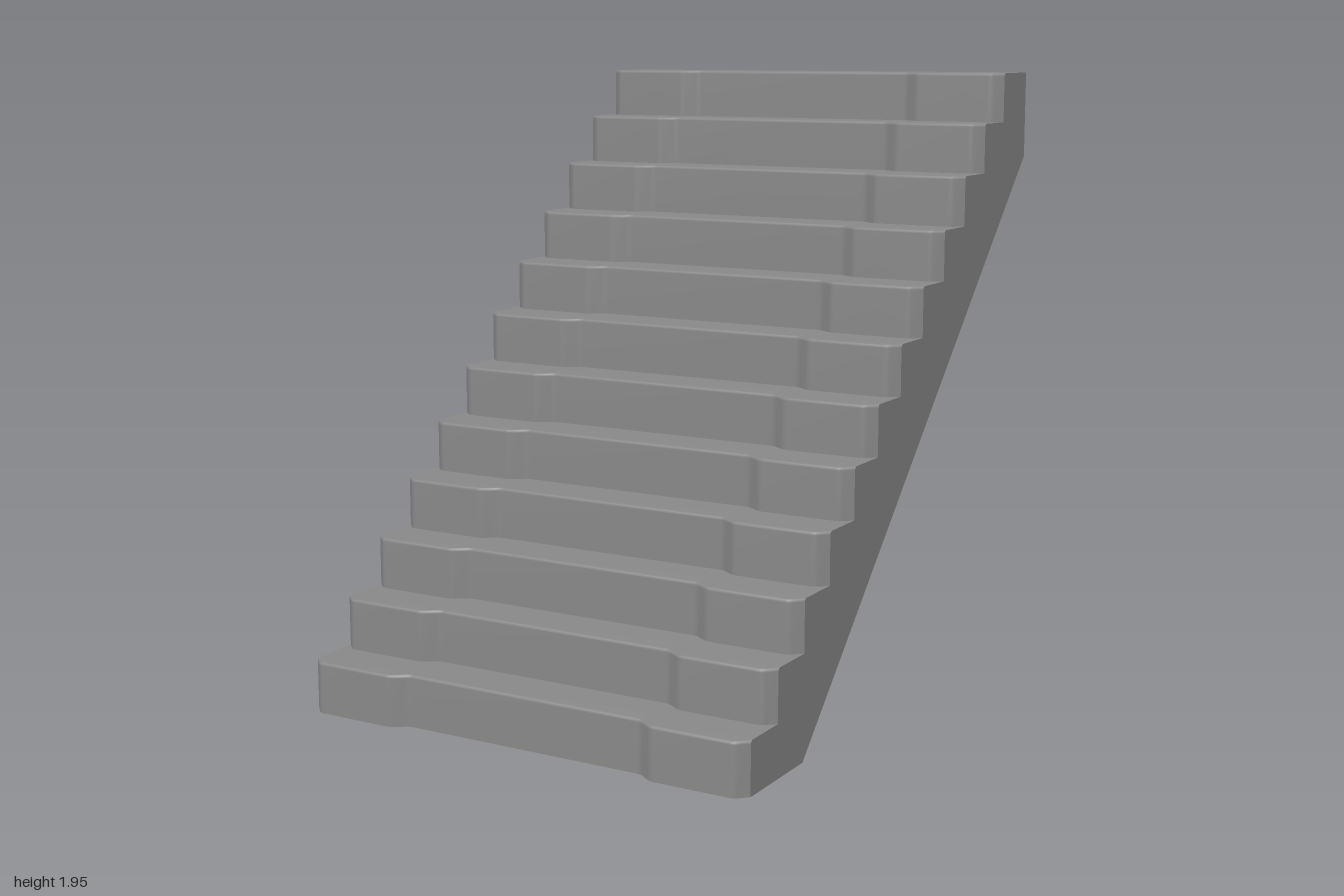
import * as THREE from 'three';

const STEPS = 12, RISE = 1.95 / STEPS, RUN = 0.1606, BEVEL = 0.01;
const HALF = 0.765, RECESS = 0.035, FILLET = 0.012;
const BASE_Z = 0.65, BACK_Z = -1, BACK_Y = 1.665;

// Stair outline as [z, y], from the underside's foot round the front to the back.
// Doubled points keep a corner sharp.
function profile(inset) {
  const pts = [[BASE_Z, 0]];
  for (let i = 0; i < STEPS; i++) {
    const z = 1 - RUN * i - inset, foot = RISE * i, top = foot + RISE;
    pts.push([z, foot], [z, foot]);
    pts.push([z, top - BEVEL], [z - BEVEL * 0.3, top - BEVEL * 0.3], [z - BEVEL, top]);
  }
  const top = RISE * STEPS;
  pts.push([BACK_Z, top], [BACK_Z, top], [BACK_Z, BACK_Y]);
  return pts;
}

// Front edge as [x, inset]: chamfered ends, a shallow recess and softened corners
function frontEdge() {
  const right = [[HALF, RECESS], [0.73, 0], [0.46, 0], [0.41, RECESS]];
  const corners = [...right.map(([x, i]) => [-x, i]), ...right.reverse()]
    .map(([x, i]) => new THREE.Vector2(x, i));
  const edge = [corners[0]];
  for (let k = 1; k < corners.length - 1; k++) {
    const c = corners[k];
    const toward = (p) => p.clone().sub(c).setLength(FILLET).add(c);
    const a = toward(corners[k - 1]), b = toward(corners[k + 1]);
    edge.push(a, a.clone().add(b).addScaledVector(c, 2).divideScalar(4), b);
  }
  edge.push(corners[corners.length - 1]);
  return edge;
}

// Skin joining the outlines from one end to the other
function stairSkin() {
  const edge = frontEdge();
  const rows = profile(0).length;
  const pos = [], idx = [];
  edge.forEach((p, s) => {
    for (const [z, y] of profile(p.y)) pos.push(p.x, y, z);
    if (s === 0) return;
    for (let i = 0; i < rows - 1; i++) {
      const a = (s - 1) * rows + i, b = s * rows + i;
      idx.push(a, b, b + 1, a, b + 1, a + 1);
    }
  });
  const g = new THREE.BufferGeometry();
  g.setAttribute('position', new THREE.Float32BufferAttribute(pos, 3));
  g.setIndex(idx);
  g.computeVertexNormals();
  return g;
}

function sideWall(side) {
  const shape = new THREE.Shape(profile(RECESS).map(([z, y]) => new THREE.Vector2(-side * z, y)));
  return new THREE.ShapeGeometry(shape).rotateY(side * Math.PI / 2).translate(side * HALF, 0, 0);
}

// Open box seen from inside
function pocketGeometry(w, h, d) {
  const g = new THREE.BoxGeometry(w, h, d).translate(0, 0, -d / 2);
  const idx = Array.from(g.index.array);
  idx.splice(24, 6); // drop the outer face
  g.setIndex(idx);
  g.clearGroups();
  g.scale(-1, 1, 1);
  g.computeVertexNormals();
  return g;
}

export function createModel() {
  const model = new THREE.Group();
  model.name = 'staircase';
  const mat = new THREE.MeshStandardMaterial({ color: 0x888888 });
  const add = (parent, name, geo) => {
    const mesh = new THREE.Mesh(geo, mat);
    mesh.name = name;
    parent.add(mesh);
    return mesh;
  };

  add(model, 'steps', stairSkin());
  add(model, 'leftSide', sideWall(1));
  add(model, 'rightSide', sideWall(-1));

  // Sloping underside, laid out flat and then tilted into place
  const underside = new THREE.Group();
  underside.name = 'underside';
  const up = new THREE.Vector3(0, BACK_Y, BACK_Z - BASE_Z);
  const length = up.length();
  up.normalize();
  const across = new THREE.Vector3(-1, 0, 0);
  const out = new THREE.Vector3().crossVectors(across, up);
  underside.quaternion.setFromRotationMatrix(new THREE.Matrix4().makeBasis(across, up, out));
  underside.position.z = BASE_Z;
  model.add(underside);

  const panel = new THREE.Shape([
    new THREE.Vector2(-HALF, 0), new THREE.Vector2(HALF, 0),
    new THREE.Vector2(HALF, length), new THREE.Vector2(-HALF, length),
  ]);

  // Four shallow rectangular pockets
  const w = 0.272, h = 0.58;
  for (const x of [-0.604, 0.604]) {
    for (const y of [0.627, 1.66]) {
      panel.holes.push(new THREE.Path([
        new THREE.Vector2(x - w / 2, y - h / 2), new THREE.Vector2(x - w / 2, y + h / 2),
        new THREE.Vector2(x + w / 2, y + h / 2), new THREE.Vector2(x + w / 2, y - h / 2),
      ]));
      add(underside, 'pocket', pocketGeometry(w, h, 0.05)).position.set(x, y, 0);
    }
  }
  add(underside, 'undersidePanel', new THREE.ShapeGeometry(panel));
  return model;
}
